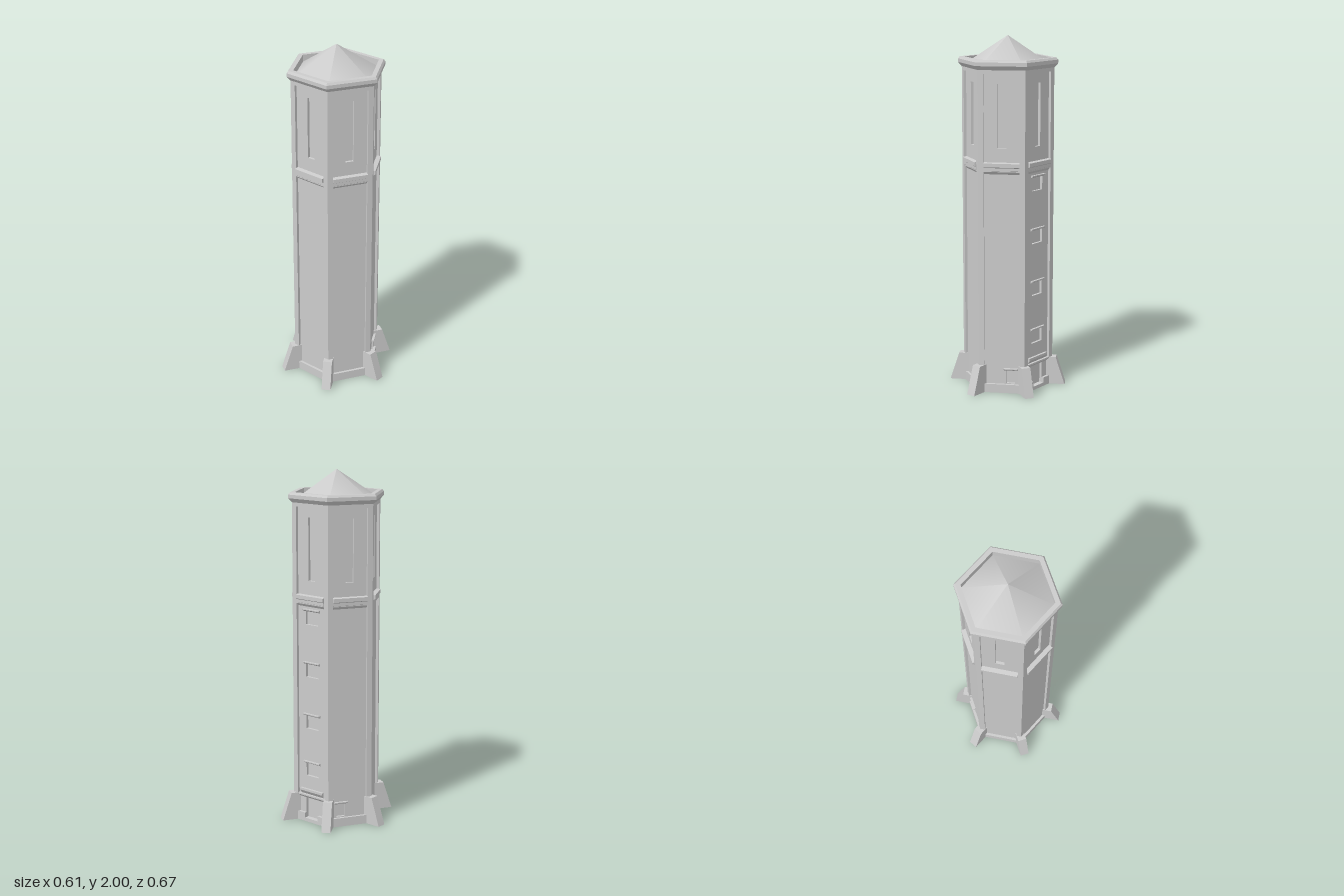
import * as THREE from 'three';

const stone = new THREE.MeshStandardMaterial({ color: 0xcccccc });
stone.name = 'pale stone';

const COS30 = Math.cos(Math.PI / 6);
const WALL = 0.225;   // apothem of pilasters and plinth
const PANEL = 0.21;   // apothem of sunken panels
const CORE = 0.195;   // apothem at the back of the windows

function add(parent, name, geometry) {
  const mesh = new THREE.Mesh(geometry, stone);
  mesh.name = name;
  parent.add(mesh);
  return mesh;
}

const polygon = (pts, Type = THREE.Shape) => new Type(pts.map(([x, y]) => new THREE.Vector2(x, y)));

const rect = (x0, x1, y0, y1) => [[x0, y0], [x1, y0], [x1, y1], [x0, y1]];

// Flat plate with openings, from one apothem out to another
function plate(outline, holes, from, to) {
  const shape = polygon(outline);
  shape.holes = holes.map((h) => polygon(h, THREE.Path));
  return new THREE.ExtrudeGeometry(shape, { depth: to - from, bevelEnabled: false }).translate(0, 0, from);
}

// Profile given as [outward distance, height], swept sideways over a width
function prism(profile, width, x = 0) {
  return new THREE.ExtrudeGeometry(polygon(profile), { depth: width, bevelEnabled: false })
    .rotateY(-Math.PI / 2).translate(width / 2 + x, 0, 0);
}

// Small ledge with a sloping underside
const ledge = (y, h, width, x = 0) =>
  prism([[PANEL - 0.005, y], [PANEL, y], [0.224, y + h * 0.6], [0.224, y + h], [PANEL - 0.005, y + h]], width, x);

function createFace(i) {
  const face = new THREE.Group();
  face.name = 'towerFace';
  const isDoorFace = i === 1;
  const panelHoles = [rect(-0.024, 0.024, 1.4, 1.75)];
  let lowerOpening = rect(-0.1, 0.1, 0.05, 1.27);

  if (isDoorFace) {
    // Door cuts down into the plinth, with a column of windows above
    lowerOpening = [[-0.1, 0.05], [-0.047, 0.05], [-0.047, 0.02], [0.047, 0.02],
      [0.047, 0.05], [0.1, 0.05], [0.1, 1.27], [-0.1, 1.27]];
    panelHoles.push(rect(-0.047, 0.047, 0.02, 0.14));
    add(face, 'doorLintel', ledge(0.14, 0.022, 0.198));
    add(face, 'doorCanopy', ledge(0.162, 0.033, 0.165));
    for (const y of [0.348, 0.628, 0.928, 1.228]) {
      panelHoles.push(rect(-0.045, 0.045, y - 0.075, y));
      add(face, 'windowLintel', ledge(y, 0.014, 0.118));
    }
  } else if (i === 0 || i === 2) {
    // Low side window set towards the door side
    const x = i === 0 ? 0.05 : -0.05;
    panelHoles.push(rect(x - 0.024, x + 0.024, 0.055, 0.13));
    add(face, 'sideWindowLintel', ledge(0.13, 0.014, 0.08, x));
  }

  const hw = WALL * Math.tan(Math.PI / 6);
  const pw = PANEL * Math.tan(Math.PI / 6);
  add(face, 'pilasterFrame', plate(rect(-hw, hw, 0, 1.84),
    [lowerOpening, rect(-0.1, 0.1, 1.31, 1.805)], PANEL, WALL));
  add(face, 'wallPanel', plate(rect(-pw, pw, 0, 1.84), panelHoles, CORE, PANEL));
  add(face, 'bandMoulding', prism([[0.205, 1.255], [0.21, 1.255], [0.226, 1.276], [0.226, 1.292],
    [0.235, 1.297], [0.235, 1.318], [0.205, 1.322]], 0.2));
  face.rotation.y = Math.PI / 6 + i * Math.PI / 3;
  return face;
}

export function createModel() {
  const tower = new THREE.Group();
  tower.name = 'hexagonalTower';

  add(tower, 'core', new THREE.CylinderGeometry(CORE / COS30, CORE / COS30, 1.83, 6).toNonIndexed())
    .geometry.translate(0, 0.915, 0).computeVertexNormals();

  for (let i = 0; i < 6; i++) {
    tower.add(createFace(i));
    // Sloping buttress at each corner
    const buttress = add(tower, 'buttress',
      prism([[0.2, 0], [0.335, 0], [0.283, 0.16], [0.2, 0.16]], 0.052));
    buttress.rotation.y = i * Math.PI / 3;
  }

  // Cornice and parapet ring
  const profile = [[0.245, 1.822], [0.261, 1.826], [0.281, 1.848], [0.281, 1.868],
    [0.271, 1.88], [0.243, 1.88], [0.243, 1.83]].map(([r, y]) => new THREE.Vector2(r, y));
  const cornice = new THREE.LatheGeometry(profile, 6).toNonIndexed();
  cornice.computeVertexNormals();
  add(tower, 'cornice', cornice);

  // Smooth-shaded pointed roof inside the parapet
  add(tower, 'roof', new THREE.ConeGeometry(0.243, 0.16, 6, 1, true).translate(0, 1.92, 0));

  return tower;
}
